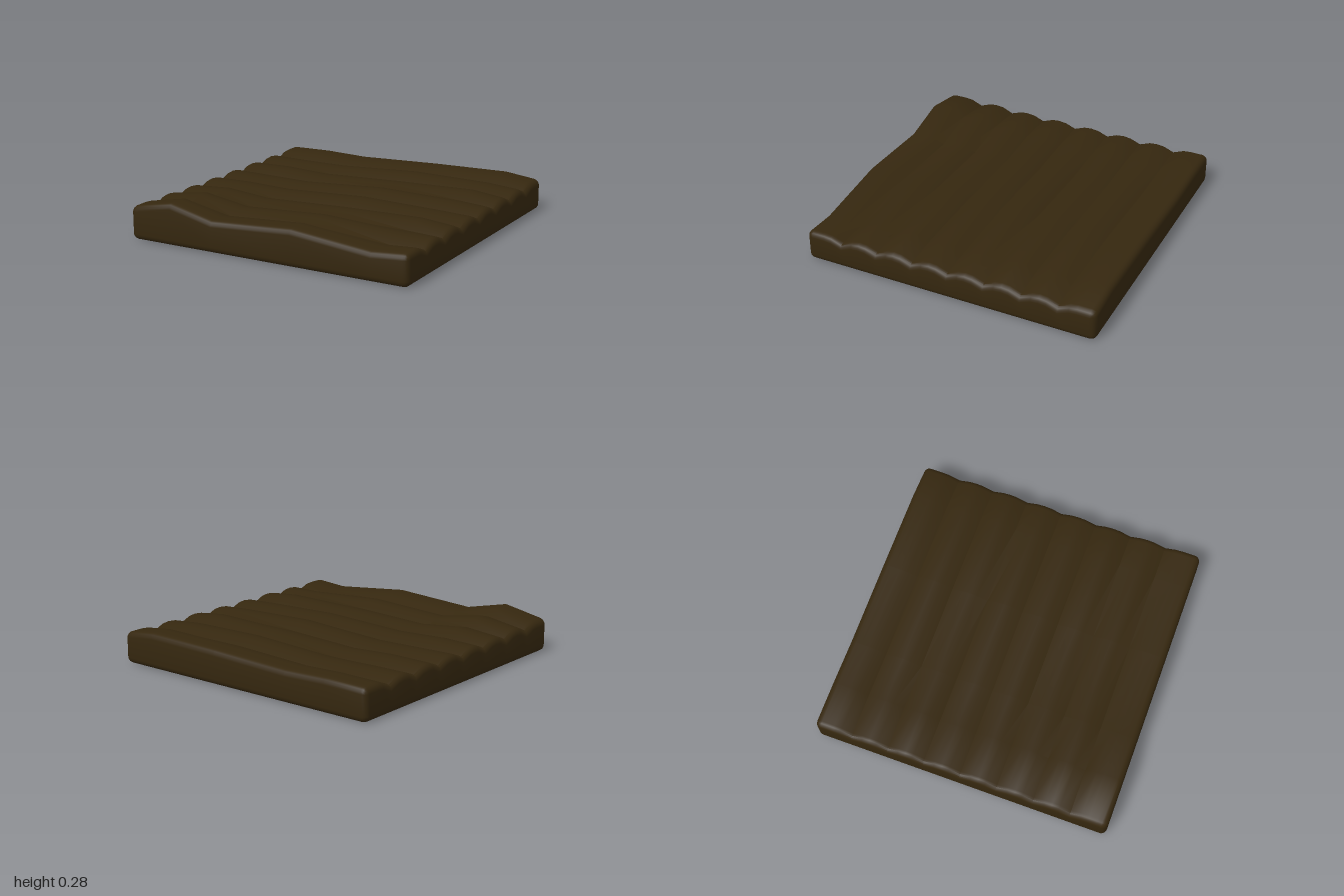
import * as THREE from 'three';
import { toCreasedNormals } from 'three/addons/utils/BufferGeometryUtils.js';

const R = 0.04; // radius of the rounded rim
const STATIONS = [-1, -0.69, -0.38, 0.2, 0.75, 1];
// crest height of each furrow ridge at the stations, back to front
const CRESTS = [
  [0.215, 0.22, 0.21, 0.23, 0.24, 0.21],
  [0.215, 0.21, 0.21, 0.24, 0.23, 0.21],
  [0.215, 0.22, 0.205, 0.225, 0.24, 0.21],
  [0.215, 0.21, 0.205, 0.24, 0.225, 0.21],
  [0.215, 0.22, 0.21, 0.235, 0.22, 0.21],
  [0.215, 0.235, 0.205, 0.225, 0.235, 0.21],
  [0.22, 0.26, 0.21, 0.24, 0.21, 0.21],
  [0.22, 0.28, 0.21, 0.245, 0.19, 0.21],
];
const N = CRESTS.length;
const W = 2 / N;
const VALLEY = 0.035;

function crest(k, x) {
  let i = 0;
  while (i < STATIONS.length - 2 && x > STATIONS[i + 1]) i++;
  const t = (x - STATIONS[i]) / (STATIONS[i + 1] - STATIONS[i]);
  return THREE.MathUtils.lerp(CRESTS[k][i], CRESTS[k][i + 1], t);
}

// soil height: rounded ridges meeting in sharp valleys
function soilHeight(x, z) {
  const k = Math.min(N - 1, Math.max(0, Math.floor((z + 1) / W + 1e-6)));
  const t = (z + 1) / W - k;
  const p = crest(k, x);
  const n = t < 0.5 ? k - 1 : k + 1;
  if (n < 0 || n >= N) return p; // outer flanks are shaped by the rim
  const valley = (p + crest(n, x)) / 2 - VALLEY;
  const s = Math.abs(t - 0.5) * 2;
  const f = s < 0.4 ? 1 - 0.15 * (s / 0.4) : 0.85 * (1 - s) / 0.6;
  return THREE.MathUtils.lerp(valley, p, f);
}

// grid positions with extra steps round both rims
function withRims(inner) {
  const rim = [];
  for (let a = 0; a <= 4; a++) {
    const ang = a * Math.PI / 8;
    rim.push({ p: 1 - R * (1 - Math.cos(ang)), drop: R * (1 - Math.sin(ang)) });
  }
  return [
    ...rim.map(({ p, drop }) => ({ p: -p, drop })),
    ...inner.map((p) => ({ p, drop: 0 })),
    ...rim.reverse(),
  ];
}

function buildSlab() {
  const xs = withRims(STATIONS.slice(1, -1));
  const inner = [];
  for (let k = 0; k < N; k++) {
    for (const t of [0, 0.3, 0.5, 0.7]) {
      const z = -1 + (k + t) * W;
      if (Math.abs(z) < 1 - R) inner.push(z);
    }
  }
  const zs = withRims(inner);
  const M = zs.length;
  const L = 2 * M;
  const pos = [];
  const idx = [];

  // closed sections across the slab: top row, then bottom row back again
  for (const sx of xs) {
    const shrink = 1 - 0.99 * sx.drop / R;
    const top = [];
    const bottom = [];
    for (const sz of zs) {
      const edge = 1 - R;
      const a = Math.abs(sz.p);
      const z = a > edge ? Math.sign(sz.p) * (edge + (a - edge) * shrink) : sz.p;
      const drop = sx.drop + sz.drop * shrink;
      top.push([sx.p, soilHeight(sx.p, sz.p) - drop, z]);
      bottom.push([sx.p, drop, z]);
    }
    pos.push(...top.flat(), ...bottom.reverse().flat());
  }
  const quad = (a, b, c, d) => idx.push(a, b, c, a, c, d);
  for (let i = 0; i < xs.length - 1; i++) {
    for (let l = 0; l < L; l++) {
      const m = (l + 1) % L;
      quad(i * L + l, i * L + m, (i + 1) * L + m, (i + 1) * L + l);
    }
  }
  // end faces
  const e = (xs.length - 1) * L;
  for (let j = 0; j < M - 1; j++) {
    const b = L - 1 - j;
    quad(e + b, e + j, e + j + 1, e + b - 1);
    quad(b - 1, j + 1, j, b);
  }
  const g = new THREE.BufferGeometry();
  g.setAttribute('position', new THREE.Float32BufferAttribute(pos, 3));
  g.setIndex(idx);
  return toCreasedNormals(g, 0.65);
}

export function createModel() {
  const soil = new THREE.MeshStandardMaterial({ color: 0x35270f });
  soil.name = 'darkSoil';
  const slab = new THREE.Mesh(buildSlab(), soil);
  slab.name = 'ploughedSoil';
  const group = new THREE.Group();
  group.name = 'soilPlot';
  group.add(slab);
  return group;
}
